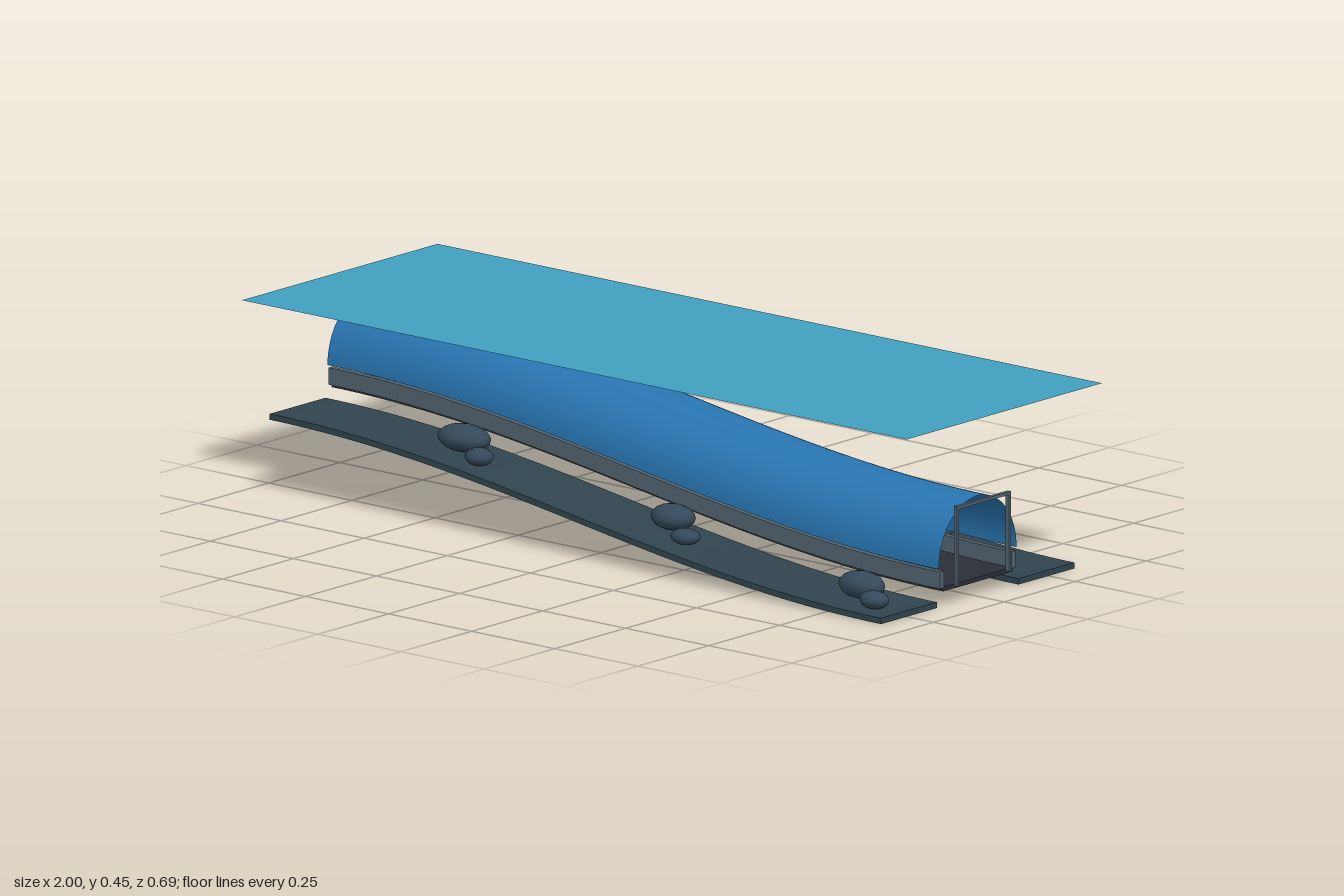
import * as THREE from 'three';

const LENGTH = 1.84, DROP = 0.18;
const mat = (color) => new THREE.MeshStandardMaterial({ color });

// Height of the slope above its low (+x) end
const slope = (x) => DROP * 0.5 * (1 + Math.cos(Math.PI * (x / LENGTH + 0.5)));

function bend(geo) {
  const p = geo.attributes.position;
  for (let i = 0; i < p.count; i++) p.setY(i, p.getY(i) + slope(p.getX(i)));
  geo.computeVertexNormals();
  return geo;
}

// Rectangular bar running down the slope
function slopedBar(name, width, height, y, z, material) {
  const geo = new THREE.BoxGeometry(LENGTH, height, width, 48, 1, 1);
  geo.translate(0, y + height / 2, z);
  const mesh = new THREE.Mesh(bend(geo), material);
  mesh.name = name;
  return mesh;
}

export function createModel() {
  const group = new THREE.Group();
  const steel = mat(0x52636f), sand = mat(0x30444e), stone = mat(0x34495a);

  // Arched shell: a flat sheet rolled into a half ellipse
  const shellGeo = new THREE.PlaneGeometry(LENGTH, 1, 48, 32);
  const p = shellGeo.attributes.position;
  for (let i = 0; i < p.count; i++) {
    const a = (p.getY(i) + 0.5) * Math.PI;
    p.setY(i, 0.09 + 0.148 * Math.sin(a));
    p.setZ(i, 0.137 * Math.cos(a));
  }
  const glass = mat(0x2874b0);
  glass.side = THREE.DoubleSide;
  const shell = new THREE.Mesh(bend(shellGeo), glass);
  shell.name = 'tunnelShell';
  group.add(shell);

  // Walkway, side curbs and seabed strips
  group.add(slopedBar('tunnelFloor', 0.244, 0.01, 0.035, 0, mat(0x2a2f38)));
  for (const s of [1, -1]) {
    const side = s > 0 ? 'front' : 'back';
    group.add(slopedBar(side + 'Curb', 0.015, 0.04, 0.043, s * 0.126, steel));
    group.add(slopedBar(side + 'Seabed', 0.197, 0.014, 0, s * 0.2425, sand));
  }

  // Portal frame at the low end
  const portal = new THREE.Group();
  portal.name = 'portalFrame';
  const beam = (name, h, w, y, z) => {
    const mesh = new THREE.Mesh(new THREE.BoxGeometry(0.01, h, w), steel);
    mesh.name = name;
    mesh.position.set(0.934, y, z);
    portal.add(mesh);
  };
  beam('leftPost', 0.189, 0.007, 0.1385, 0.0915);
  beam('rightPost', 0.189, 0.007, 0.1385, -0.0915);
  beam('lintel', 0.007, 0.19, 0.2295, 0);
  group.add(portal);

  // Rocks: x, y, z, then half sizes along x, y, z
  const rocks = [
    [-0.44, 0.193, 0.217, 0.07, 0.032, 0.048], [-0.35, 0.173, 0.27, 0.035, 0.021, 0.031],
    [0.174, 0.104, 0.2, 0.057, 0.03, 0.044], [0.267, 0.085, 0.265, 0.037, 0.019, 0.031],
    [0.757, 0.043, 0.218, 0.061, 0.032, 0.042], [0.845, 0.033, 0.277, 0.037, 0.021, 0.03],
    [-0.706, 0.211, -0.2, 0.06, 0.028, 0.04], [-0.613, 0.2, -0.245, 0.035, 0.018, 0.03],
    [-0.144, 0.15, -0.225, 0.06, 0.032, 0.048], [-0.037, 0.131, -0.278, 0.037, 0.022, 0.033],
    [0.47, 0.068, -0.21, 0.065, 0.031, 0.052], [0.575, 0.048, -0.272, 0.032, 0.018, 0.027],
  ];
  const rockGeo = new THREE.IcosahedronGeometry(1, 2);
  rocks.forEach(([x, y, z, a, b, c], i) => {
    const rock = new THREE.Mesh(rockGeo, stone);
    rock.name = 'rock' + (i + 1);
    rock.position.set(x, y, z);
    rock.scale.set(a, b, c);
    group.add(rock);
  });

  // Water surface above everything
  const water = mat(0x429fc0);
  water.side = THREE.DoubleSide;
  const surface = new THREE.Mesh(new THREE.PlaneGeometry(2, 0.69).rotateX(-Math.PI / 2), water);
  surface.name = 'waterSurface';
  surface.position.y = 0.45;
  group.add(surface);

  return group;
}
